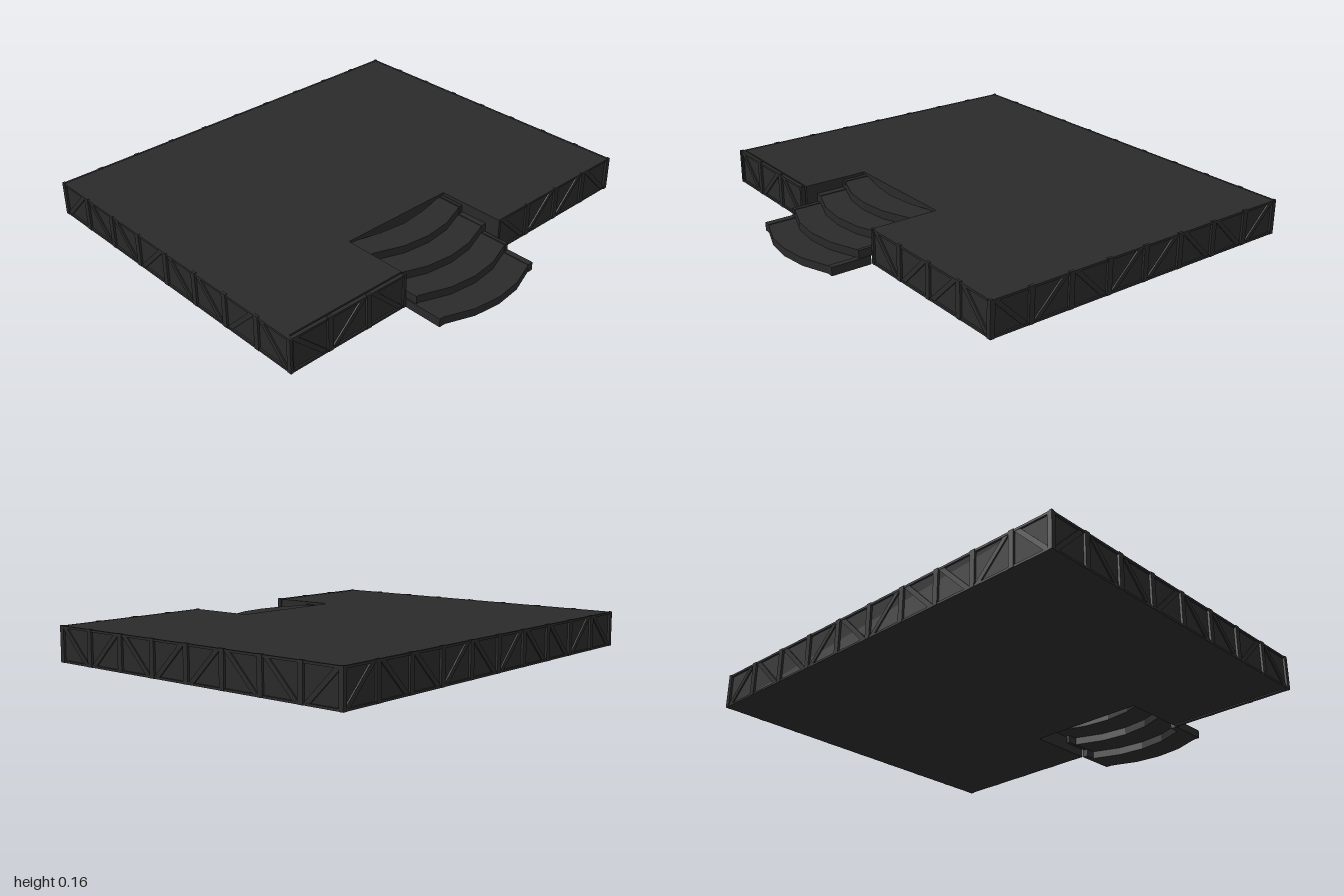
import * as THREE from 'three';

const mat = new THREE.MeshStandardMaterial({ color: 0x2a2a2a, flatShading: true });
const H = 0.163;       // wall height
const DEPTH = 0.021;   // wall thickness

function add(parent, geo, name, x = 0, y = 0, z = 0) {
  const m = new THREE.Mesh(geo, mat);
  m.name = name;
  m.position.set(x, y, z);
  parent.add(m);
  return m;
}

function box(parent, name, x0, x1, y0, y1, z0, z1) {
  return add(parent, new THREE.BoxGeometry(x1 - x0, y1 - y0, z1 - z0), name,
    (x0 + x1) / 2, (y0 + y1) / 2, (z0 + z1) / 2);
}

// Flat outline pushed along its normal
function slab(points, depth) {
  const shape = new THREE.Shape(points.map(p => new THREE.Vector2(p[0], p[1])));
  return new THREE.ExtrudeGeometry(shape, { depth, bevelEnabled: false });
}

// Timber wall: runs along local x, outer face at local z = 0
function makeWall(name, length, panels, flips) {
  const g = new THREE.Group();
  g.name = name;
  const half = length / 2, w = length / panels, post = 0.013, rail = 0.01;
  box(g, 'backBoard', -half, half, 0, H - 0.003, -DEPTH, -0.01);
  for (let i = 0; i < panels; i++) {
    const a = -half + i * w, b = a + w;
    const l = a + post, r = b - post;
    box(g, 'post', a, l, 0, H, -0.012, 0);
    box(g, 'post', r, b, 0, H, -0.012, 0);
    box(g, 'bottomRail', l, r, 0, rail, -0.012, -0.002);
    box(g, 'topRail', l, r, H - rail - 0.002, H - 0.002, -0.012, -0.002);
    // Diagonal brace between opposite corners
    const up = flips[i % flips.length];
    const yl = up ? rail : H - rail, yr = up ? H - rail : rail;
    const t = 0.03;
    const pts = [[l, yl], [l + t, yl], [r, yr], [r - t, yr]];
    add(g, slab(pts, 0.008), 'brace', 0, 0, -0.012);
  }
  return g;
}

export function createModel() {
  const model = new THREE.Group();
  model.name = 'platform';
  const nl = -0.385, nr = 0.195, nz = 0.335;   // stair recess

  // Deck with a recess in the front edge (outline in x, -z)
  const X = 0.982, F = 0.642, B = -0.907;
  const deck = add(model, slab([
    [-X, -F], [nl, -F], [nl, -nz], [nr, -nz], [nr, -F], [X, -F], [X, -B], [-X, -B],
  ], 0.16), 'deck');
  deck.rotation.x = -Math.PI / 2;

  // Walls around the deck
  const place = (wall, x, z, ry) => {
    wall.position.set(x, 0, z);
    wall.rotation.y = ry;
    model.add(wall);
  };
  const zc = (0.665 - 0.925) / 2, side = 0.665 + 0.925;
  place(makeWall('rightWall', side, 8, [1, 0, 0, 1, 0, 0, 1, 0]), -1, zc, -Math.PI / 2);
  place(makeWall('leftWall', side, 8, [0, 1, 0, 1, 1, 0]), 1, zc, Math.PI / 2);
  place(makeWall('backWall', 2, 10, [1, 0, 0, 1, 0]), 0, -0.925, Math.PI);
  place(makeWall('frontRightWall', nl + 1, 3, [0, 1, 0]), (nl - 1) / 2, 0.67, 0);
  place(makeWall('frontLeftWall', 1 - nr, 4, [0, 1, 1, 0]), (nr + 1) / 2, 0.663, 0);

  // Curved steps, each a faceted slab with side blocks
  const stairs = new THREE.Group();
  stairs.name = 'stairs';
  model.add(stairs);
  const rise = 0.0365, run = 0.134;
  const arc = [[-0.36, 0.855], [-0.225, 0.905], [-0.095, 0.92], [0.035, 0.905], [0.17, 0.855]];
  for (let i = 0; i < 4; i++) {
    const y = i * rise, dz = i * run;
    const front = arc.map(([x, z]) => [x, -(z - dz)]);
    const back = arc.map(([x, z]) => [x, -Math.max(z - dz - run - 0.006, 0.33)]).reverse();
    const step = add(stairs, slab([...front, ...back], rise), 'step', 0, y, 0);
    step.rotation.x = -Math.PI / 2;
    const inset = i % 2 ? 0.006 : 0;
    const z1 = 0.857 - dz, z0 = Math.max(z1 - 0.19, nz);
    const top = y + rise + 0.003;
    box(stairs, 'stepSide', nl + inset, -0.353 - inset, y, top, z0, z1);
    box(stairs, 'stepSide', 0.167 + inset, nr - inset, y, top, z0, z1);
  }
  return model;
}
